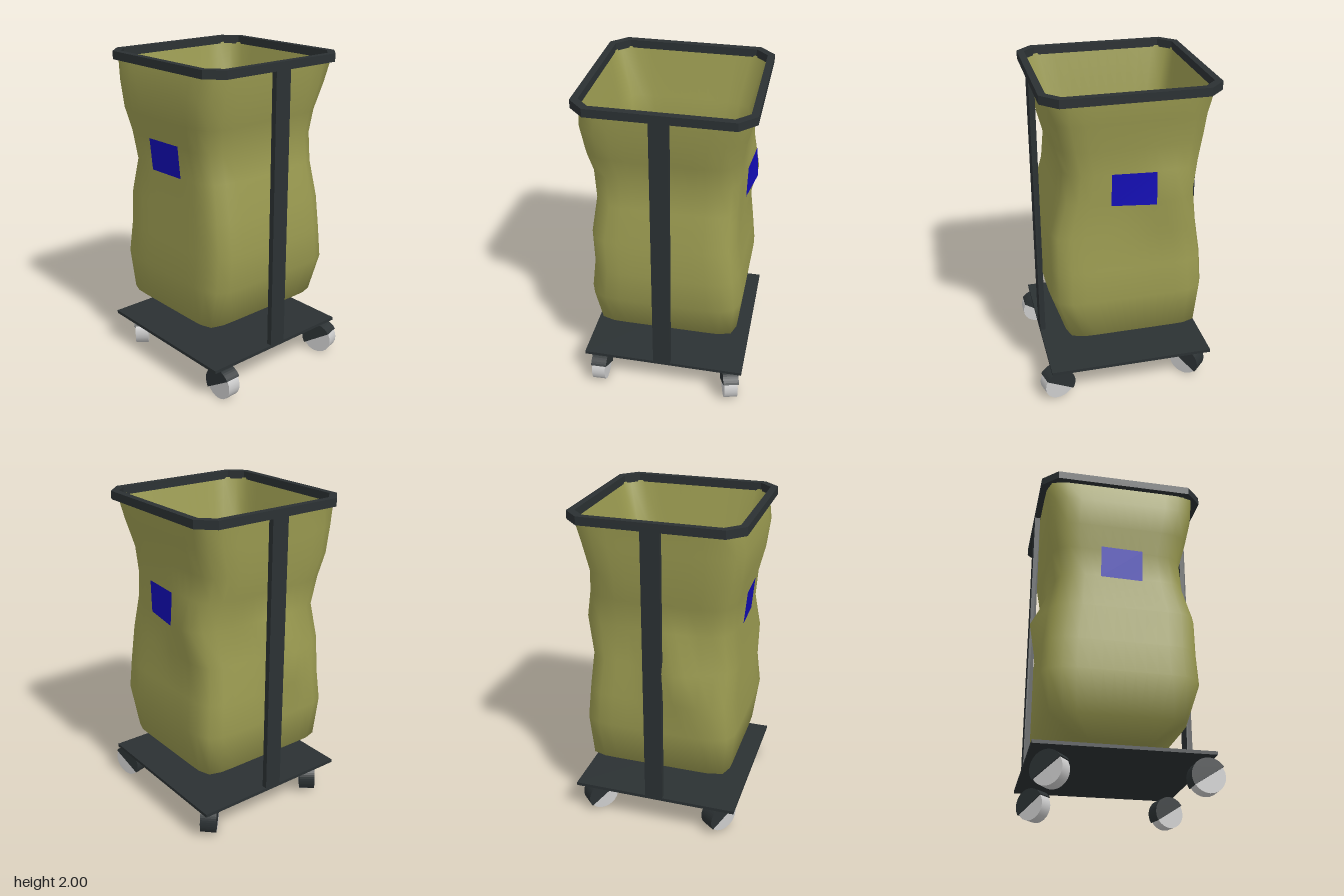
import * as THREE from 'three';

const CZ = -0.033; // frame centre in z
const dark = new THREE.MeshStandardMaterial({ color: 0x2b3133 });
const grey = new THREE.MeshStandardMaterial({ color: 0xcccccc });
const cloth = new THREE.MeshStandardMaterial({ color: 0x9a9a50, side: THREE.DoubleSide });
const blue = new THREE.MeshStandardMaterial({ color: 0x130db6, side: THREE.DoubleSide });

function add(parent, name, geometry, material, x = 0, y = 0, z = 0) {
  const mesh = new THREE.Mesh(geometry, material);
  mesh.name = name;
  mesh.position.set(x, y, z);
  parent.add(mesh);
  return mesh;
}

// Square outline with cut corners
function octagon(h, c) {
  const k = h - c;
  return [[h, -k], [h, k], [k, h], [-k, h], [-h, k], [-h, -k], [-k, -h], [k, -h]]
    .map(([x, y]) => new THREE.Vector2(x, y));
}

// Bag sections: height, left edge, right edge, front edge, back edge, squareness
const MOUTH = [1.96, -0.48, 0.48, 0.447, -0.515, 13];
const OUTER = [ // mouth down to the underside
  MOUTH,
  [1.82, -0.505, 0.468, 0.435, -0.505, 8],
  [1.65, -0.49, 0.43, 0.4, -0.5, 7],
  [1.5, -0.455, 0.43, 0.362, -0.47, 7],
  [1.32, -0.438, 0.425, 0.382, -0.44, 7],
  [1.1, -0.464, 0.43, 0.438, -0.47, 8],
  [0.88, -0.458, 0.458, 0.445, -0.5, 8],
  [0.68, -0.482, 0.478, 0.452, -0.512, 8],
  [0.42, -0.449, 0.449, 0.362, -0.477, 11],
  [0.33, -0.26, 0.25, 0.19, -0.295, 8],
  [0.33, 0, 0, -0.05, -0.05, 8],
];
const INNER = [ // floor up to the mouth
  [0.42, 0, 0, -0.035, -0.035, 12],
  [0.42, -0.37, 0.37, 0.34, -0.41, 12],
  [1, -0.385, 0.385, 0.345, -0.415, 8],
  [1.5, -0.405, 0.405, 0.352, -0.425, 7],
  [1.65, -0.42, 0.418, 0.385, -0.46, 7],
  MOUTH,
];

// Bulge strength around a point on a wall
const bump = (a, b, w) => Math.exp(-((a / w) ** 2) - ((b / 0.15) ** 2));

// Rounded-square sections joined in order
function bagGeometry(rows, bulging) {
  const N = 48, pos = [], index = [];
  rows.forEach(([y, xl, xr, zf, zb, n], r) => {
    for (let i = 0; i < N; i++) {
      const t = (i / N) * Math.PI * 2, c = Math.cos(t), s = Math.sin(t);
      const k = (Math.abs(c) ** n + Math.abs(s) ** n) ** (-1 / n);
      let x = (xl + xr) / 2 + c * k * (xr - xl) / 2;
      let z = (zf + zb) / 2 + s * k * (zf - zb) / 2;
      // bulges in the right and back walls
      if (bulging && c > 0.6) x += 0.058 * bump(z + 0.28, y - 1.32, 0.2);
      if (bulging && s < -0.6) z -= 0.088 * bump(x + 0.13, y - 1.1, 0.15);
      pos.push(x, y, z);
      if (r === rows.length - 1) continue;
      const a = r * N + i, b = r * N + (i + 1) % N;
      index.push(a, b, a + N, b, b + N, a + N);
    }
  });
  const g = new THREE.BufferGeometry();
  g.setAttribute('position', new THREE.Float32BufferAttribute(pos, 3));
  g.setIndex(index);
  g.computeVertexNormals();
  return g;
}

// Four-cornered label
function quad(corners) {
  const g = new THREE.BufferGeometry();
  g.setAttribute('position', new THREE.Float32BufferAttribute(corners.flat(), 3));
  g.setIndex([0, 1, 2, 0, 2, 3]);
  g.computeVertexNormals();
  return g;
}

// Swivelling caster: wheel under a tilted half-round hood
function caster(x, z, yaw) {
  const group = new THREE.Group();
  group.name = 'caster';
  add(group, 'wheel', new THREE.CylinderGeometry(0.098, 0.098, 0.085, 24).rotateZ(Math.PI / 2), grey, 0, 0.098, 0);
  const half = new THREE.Shape();
  half.absarc(0, 0, 0.104, 0.57, 0.57 + Math.PI, false);
  half.closePath();
  const hood = new THREE.ExtrudeGeometry(half, { depth: 0.1, bevelEnabled: false, curveSegments: 12 });
  hood.translate(0, 0, -0.05).rotateY(-Math.PI / 2);
  add(group, 'hood', hood, dark, 0, 0.098, 0);
  group.position.set(x, 0, z);
  group.rotation.y = yaw;
  return group;
}

export function createModel() {
  const model = new THREE.Group();
  model.name = 'laundryTrolley';

  // Frame
  const rim = new THREE.Shape(octagon(0.517, 0.095));
  rim.holes.push(new THREE.Path(octagon(0.475, 0.075).reverse()));
  const rimGeometry = new THREE.ExtrudeGeometry(rim, { depth: 0.05, bevelEnabled: false }).rotateX(-Math.PI / 2);
  add(model, 'topRim', rimGeometry, dark, 0, 1.95, CZ);
  add(model, 'basePlate', new THREE.BoxGeometry(1.034, 0.02, 1.034), dark, 0, 0.215, CZ);
  for (const [name, side] of [['frontPost', 1], ['backPost', -1]]) {
    add(model, name, new THREE.BoxGeometry(0.112, 1.75, 0.034), dark, -0.003, 1.08, CZ + side * 0.5);
  }

  // Bag with its lining and side labels
  add(model, 'bag', bagGeometry(OUTER, true), cloth);
  add(model, 'bagLining', bagGeometry(INNER, false), cloth);
  add(model, 'leftLabel', quad([
    [0.445, 1.31, 0.09], [0.486, 1.31, -0.17], [0.472, 1.51, -0.17], [0.45, 1.51, 0.09]]), blue);
  add(model, 'rightLabel', quad([
    [-0.452, 1.31, -0.17], [-0.443, 1.31, 0.09], [-0.461, 1.51, 0.09], [-0.471, 1.51, -0.17]]), blue);

  // Casters, each turned its own way
  const casters = [[-0.42, 0.445, 0.03], [0.44, 0.443, 0.26], [0.4, -0.43, -0.78], [-0.4, -0.43, -0.65]];
  for (const c of casters) model.add(caster(...c));

  return model;
}
